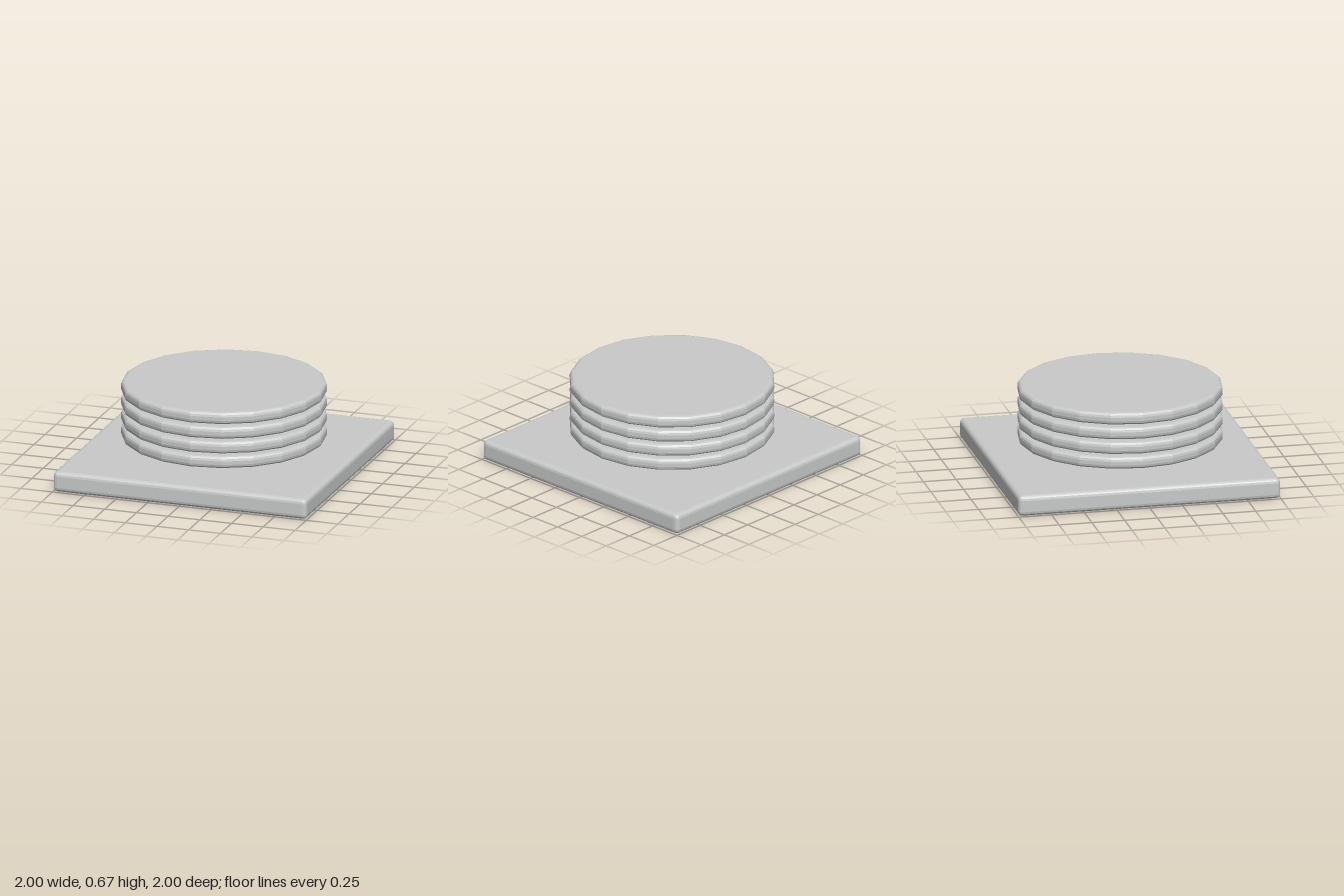
import * as THREE from 'three';
import { RoundedBoxGeometry } from 'three/addons/geometries/RoundedBoxGeometry.js';

export function createModel() {
  const group = new THREE.Group();
  const grey = new THREE.MeshStandardMaterial({ color: 0xc8cac9 });
  grey.name = 'lightGrey';
  grey.flatShading = true;

  // Square base slab with softened edges
  const baseHeight = 0.157;
  const base = new THREE.Mesh(new RoundedBoxGeometry(2, baseHeight, 2, 2, 0.035), grey);
  base.name = 'baseSlab';
  base.position.y = baseHeight / 2;
  group.add(base);

  // Twenty-sided disc profile with rounded rims, from bottom centre to top centre
  const radius = 0.767, half = 0.046, bevel = 0.032, steps = 3;
  const profile = [new THREE.Vector2(0, -half)];
  for (const side of [-1, 1]) {
    for (let i = 0; i <= steps; i++) {
      const t = (side < 0 ? steps - i : i) / steps * Math.PI / 2;
      profile.push(new THREE.Vector2(
        radius - bevel + bevel * Math.cos(t),
        side * (half - bevel + bevel * Math.sin(t))
      ));
    }
  }
  profile.push(new THREE.Vector2(0, half));
  const discGeometry = new THREE.LatheGeometry(profile, 20);

  // Four separate discs stacked above the slab with narrow gaps
  for (let i = 0; i < 4; i++) {
    const disc = new THREE.Mesh(discGeometry, grey);
    disc.name = `disc${i + 1}`;
    disc.position.y = 0.276 + i * 0.115;
    group.add(disc);
  }
  return group;
}
